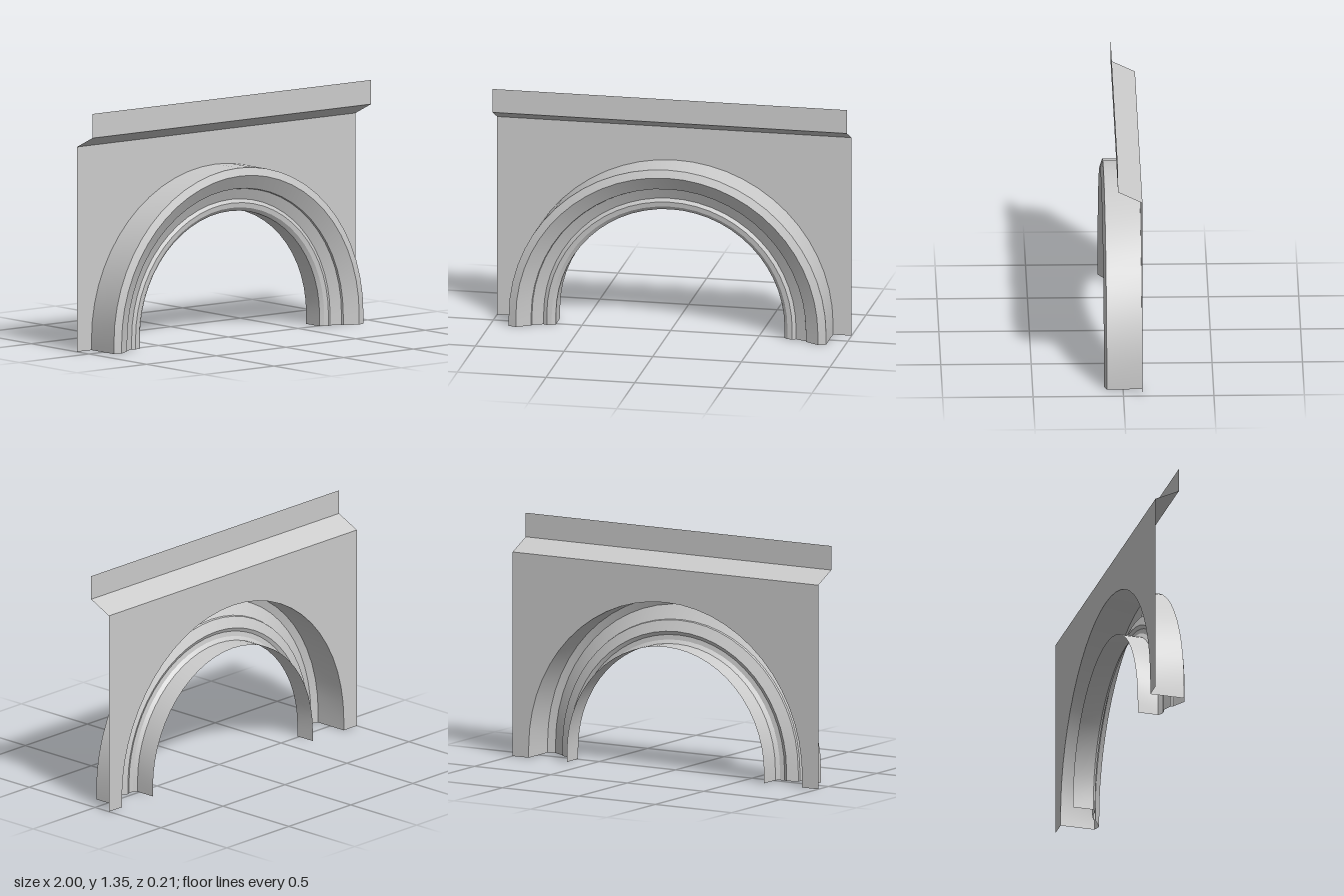
import * as THREE from 'three';

const material = new THREE.MeshStandardMaterial({ color: 0xcccccc, side: THREE.DoubleSide });
const SPRING = 0.06;   // height where the round of the arch begins
const BACK = -0.105;   // plane of the wall
const OUTER = 0.895;   // radius of the opening in the wall
const STEPS = 28;

// Points along the stilted arch at a radius, from right foot to left foot
function archPath(r) {
  const pts = [new THREE.Vector2(r, 0)];
  for (let i = 0; i <= STEPS; i++) {
    const a = (Math.PI * i) / STEPS;
    pts.push(new THREE.Vector2(r * Math.cos(a), SPRING + r * Math.sin(a)));
  }
  pts.push(new THREE.Vector2(-r, 0));
  return pts;
}

// Open surface between two rows of 3D points, smooth along the rows
function strip(rowA, rowB) {
  const n = rowA.length;
  const index = [];
  for (let i = 0; i < n - 1; i++) index.push(i, i + 1, n + i, i + 1, n + i + 1, n + i);
  const geo = new THREE.BufferGeometry().setFromPoints([...rowA, ...rowB]);
  geo.setIndex(index);
  geo.computeVertexNormals();
  return geo;
}

function addMesh(parent, name, geo) {
  const mesh = new THREE.Mesh(geo, material);
  mesh.name = name;
  parent.add(mesh);
}

export function createModel() {
  const model = new THREE.Group();
  model.name = 'archWall';

  // Flat wall with the arched opening
  const outline = [
    new THREE.Vector2(1, 0), new THREE.Vector2(1, 1.145),
    new THREE.Vector2(-1, 1.145), new THREE.Vector2(-1, 0),
    ...archPath(OUTER).reverse(),
  ];
  const wall = new THREE.ShapeGeometry(new THREE.Shape(outline));
  wall.translate(0, 0, BACK);
  addMesh(model, 'wall', wall);

  // Overhanging cornice: sloped underside, then upright band
  const cornice = new THREE.Group();
  cornice.name = 'cornice';
  const level = (y, z) => [new THREE.Vector3(-1, y, z), new THREE.Vector3(1, y, z)];
  addMesh(cornice, 'corniceSlope', strip(level(1.145, BACK), level(1.21, 0.03)));
  addMesh(cornice, 'corniceBand', strip(level(1.21, 0.03), level(1.345, 0.03)));
  model.add(cornice);

  // Arch moulding: profile of [radius, z], one crease-edged strip per step
  const profile = [
    [OUTER, BACK], [OUTER, 0.09], [0.852, 0.105], [0.775, 0.06], [0.772, 0.048],
    [0.712, 0.022], [0.692, 0.032], [0.665, 0.028], [0.645, 0.012], [0.645, BACK],
  ];
  const moulding = new THREE.Group();
  moulding.name = 'archMoulding';
  const rows = profile.map(([r, z]) => archPath(r).map((p) => new THREE.Vector3(p.x, p.y, z)));
  for (let i = 0; i < rows.length - 1; i++) {
    addMesh(moulding, `mouldingStep${i + 1}`, strip(rows[i], rows[i + 1]));
  }
  model.add(moulding);

  return model;
}
